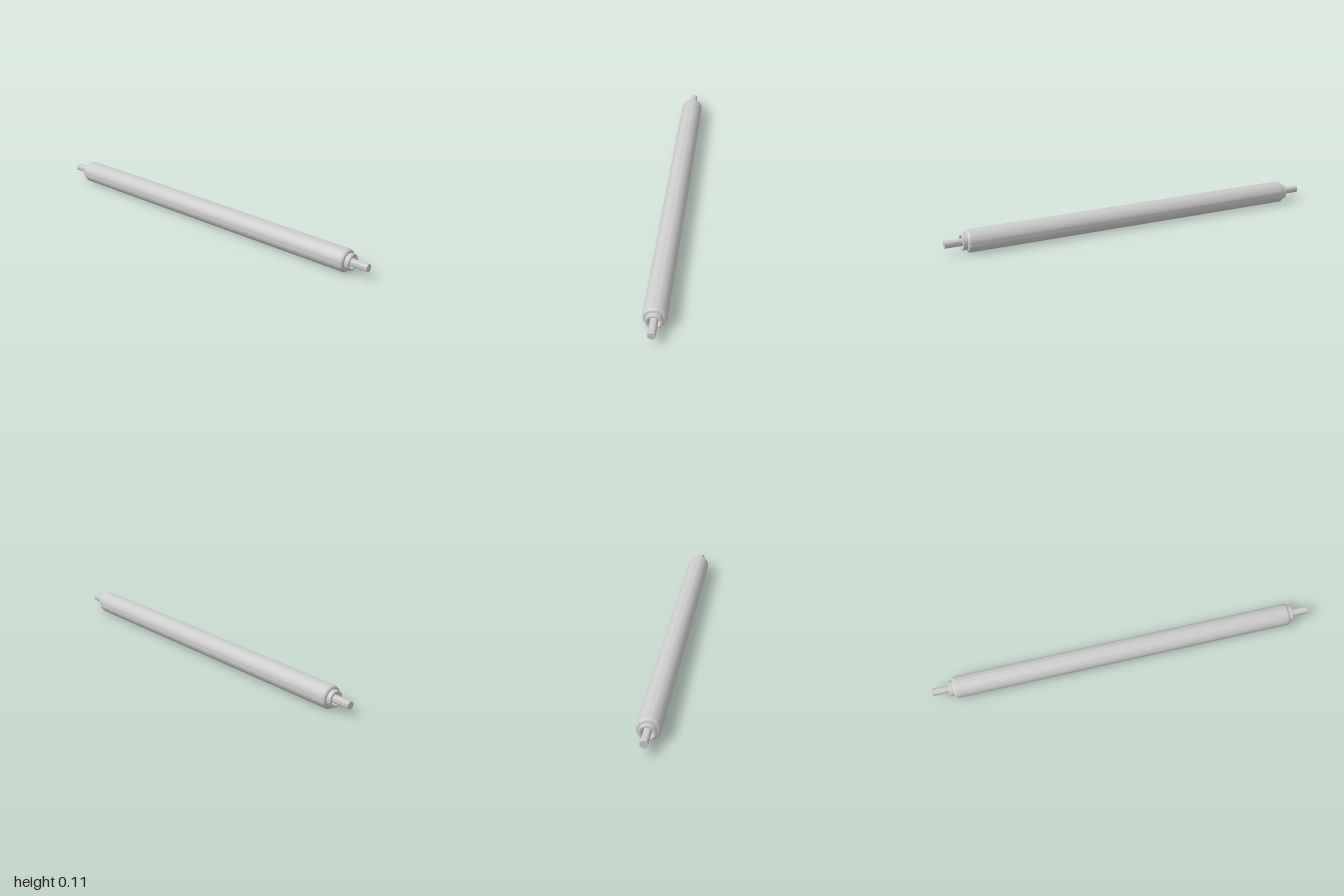
import * as THREE from 'three';
import { toCreasedNormals } from 'three/addons/utils/BufferGeometryUtils.js';

const RADIUS = 0.057;
const SEGMENTS = 48;
const material = new THREE.MeshStandardMaterial({ color: 0xcccccc, side: THREE.DoubleSide });

// Revolve a [radius, z] profile about the z axis, keeping hard edges crisp
function turned(name, profile) {
  const points = profile.map(([r, z]) => new THREE.Vector2(r, z));
  const geometry = new THREE.LatheGeometry(points, SEGMENTS).rotateX(Math.PI / 2);
  const mesh = new THREE.Mesh(toCreasedNormals(geometry, 0.6), material);
  mesh.name = name;
  return mesh;
}

// Profile of one end, mirrored to make a symmetrical part from back to front
function mirrored(half) {
  const back = half.map(([r, z]) => [r, -z]).reverse();
  return [...back, ...half];
}

export function createModel() {
  const group = new THREE.Group();
  group.name = 'roller';

  // Tube with rolled-over shoulders reaching in to the bearing collar
  const shoulder = [];
  const bend = 0.014;
  for (let i = 0; i <= 6; i++) {
    const a = (i / 6) * Math.PI / 2;
    shoulder.push([RADIUS - bend + bend * Math.cos(a), 0.878 + bend * Math.sin(a)]);
  }
  shoulder.push([0.04, 0.892]);
  group.add(turned('rollerTube', mirrored(shoulder)));

  // Bearing collars, each with a tapered recess down to the shaft
  for (const side of [1, -1]) {
    const collar = turned(side > 0 ? 'frontCollar' : 'backCollar', [
      [0.041, 0.87], [0.041, 0.912], [0.038, 0.915], [0.03, 0.915], [0.019, 0.875],
    ]);
    if (side < 0) collar.rotation.y = Math.PI;
    group.add(collar);
  }

  // Through shaft
  group.add(turned('shaft', mirrored([[0.019, 1], [0, 1]])));

  group.position.y = RADIUS;
  const model = new THREE.Group();
  model.add(group);
  return model;
}
